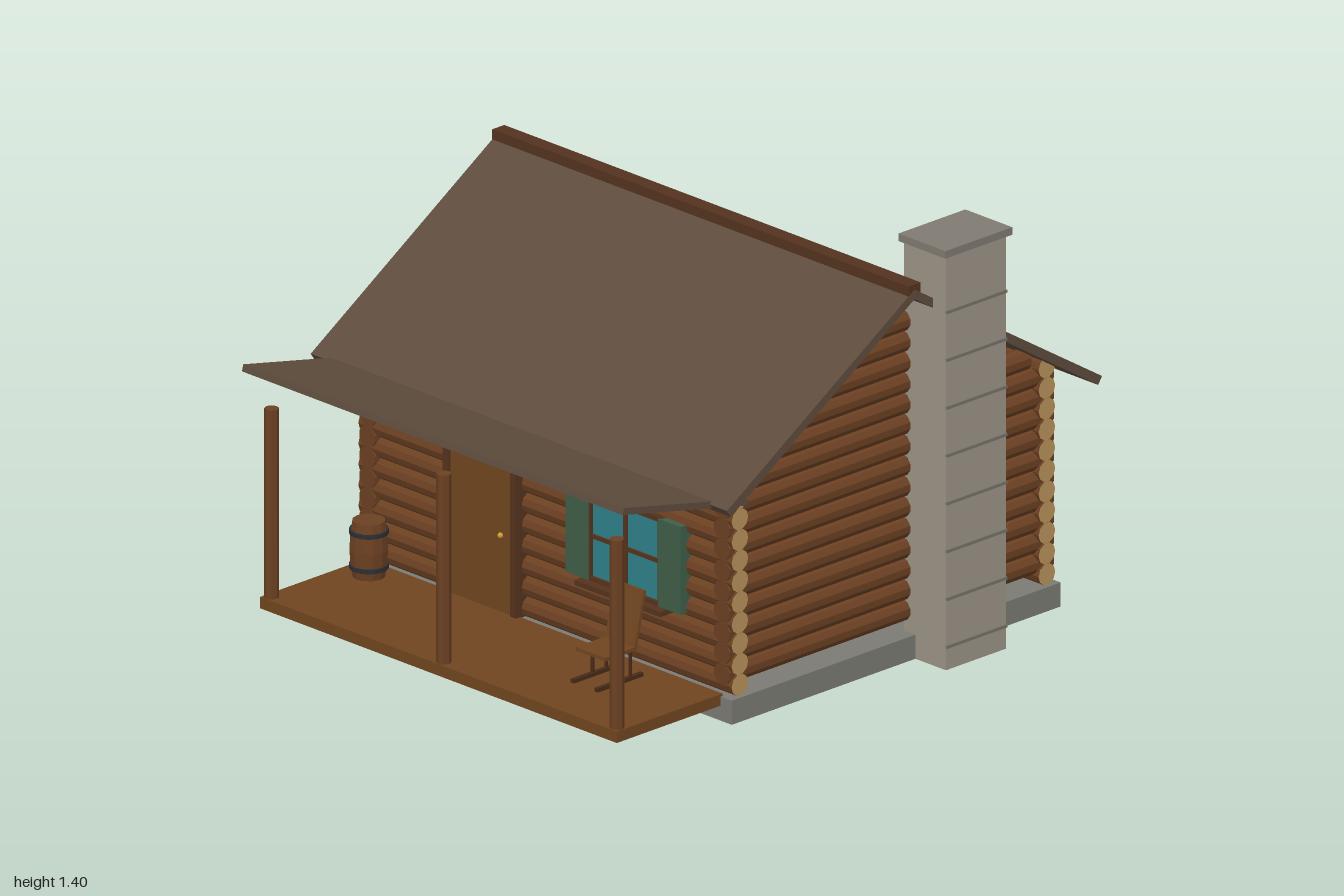
import * as THREE from 'three';

const CX = -0.035, CZ = -0.185, PITCH = 0.0688, LOG_R = 0.036;

const mat = (color, flatShading = false) => new THREE.MeshStandardMaterial({ color, flatShading });
const M = {
  log: mat(0x6b4022, true), logEnd: mat(0xb8925a), trim: mat(0x55331c), wood: mat(0x70451f),
  darkWood: mat(0x4a2b18), roof: mat(0x5e4c3d), ridge: mat(0x54331f), stone: mat(0x9c9486),
  seam: mat(0x77726a), cap: mat(0x807b71), base: mat(0x7b7a74), glass: mat(0x2f8088),
  shutter: mat(0x3f5e48), iron: mat(0x2b2e33), glow: mat(0xe6cf7a), brass: mat(0xd0a030),
};

export function createModel() {
  const root = new THREE.Group();
  root.name = 'logCabin';

  const group = (name, parent = root) => {
    const g = new THREE.Group();
    g.name = name;
    parent.add(g);
    return g;
  };
  const add = (name, geometry, material, parent = root) => {
    const mesh = new THREE.Mesh(geometry, material);
    mesh.name = name;
    parent.add(mesh);
    return mesh;
  };
  // Box given by its limits on each axis
  const box = (name, [x0, x1], [y0, y1], [z0, z1], material, parent) => {
    const m = add(name, new THREE.BoxGeometry(x1 - x0, y1 - y0, z1 - z0), material, parent);
    m.position.set((x0 + x1) / 2, (y0 + y1) / 2, (z0 + z1) / 2);
    return m;
  };
  // Round bar between two points
  const bar = (name, a, b, r, material, parent, sides = 10) => {
    const p = new THREE.Vector3(...a), q = new THREE.Vector3(...b), d = q.clone().sub(p);
    const m = add(name, new THREE.CylinderGeometry(r, r, d.length(), sides), material, parent);
    m.position.copy(p).add(q).multiplyScalar(0.5);
    m.quaternion.setFromUnitVectors(new THREE.Vector3(0, 1, 0), d.normalize());
    return m;
  };
  // Profile of [z, y] points swept along x
  const sweepX = (name, points, x0, x1, material) => {
    const shape = new THREE.Shape(points.map(([z, y]) => new THREE.Vector2(z, y)));
    const g = new THREE.ExtrudeGeometry(shape, { depth: x1 - x0, bevelEnabled: false });
    const m = add(name, g.rotateY(-Math.PI / 2), material);
    m.position.x = x1;
    return m;
  };

  box('foundation', [-0.877, 0.807], [0, 0.08], [-0.892, 0.528], M.base);

  // Front and back walls, with pale sawn ends
  for (const side of [1, -1]) {
    const wall = group(side > 0 ? 'frontWall' : 'backWall');
    const z = CZ + side * 0.663;
    for (let i = 0; i < 11; i++) {
      const y = 0.115 + i * PITCH;
      bar('wallLog', [CX - 0.825, y, z], [CX + 0.825, y, z], LOG_R, M.log, wall);
      for (const s of [1, -1]) {
        const end = add('logEnd', new THREE.CircleGeometry(LOG_R, 10), M.logEnd, wall);
        end.rotation.y = s * Math.PI / 2;
        end.position.set(CX + s * 0.8265, y, z);
      }
    }
  }

  // Side walls, half a log higher, stepping into the gables
  for (const side of [1, -1]) {
    const wall = group(side > 0 ? 'leftWall' : 'rightWall');
    const x = CX + side * 0.785;
    for (let i = 0; i < 16; i++) {
      const y = 0.149 + i * PITCH;
      const half = Math.min(0.7, (1.235 - y) / 0.6375 - 0.02);
      bar('wallLog', [x, y, CZ - half], [x, y, CZ + half], LOG_R, M.log, wall);
    }
  }

  // Main roof and ridge
  for (const s of [1, -1]) {
    const slope = [[0, 1.272], [0.81, 0.76], [0.793, 0.735], [0, 1.24]].map(([z, y]) => [CZ + s * z, y]);
    sweepX('roofSlope', slope, -0.957, 0.885, M.roof);
  }
  box('ridgeBeam', [-0.957, 0.885], [1.245, 1.289], [CZ - 0.026, CZ + 0.026], M.ridge);

  // Porch
  const porch = group('porch');
  sweepX('porchRoof', [[0.994, 0.85], [1.0, 0.828], [0.46, 0.71], [0.455, 0.732]], -0.877, 0.807, M.roof);
  box('porchDeck', [-0.82, 0.758], [0.05, 0.088], [0.52, 0.977], M.wood, porch);
  for (const x of [-0.795, -0.033, 0.733])
    bar('porchPost', [x, 0.085, 0.952], [x, 0.716, 0.952], 0.0235, M.log, porch, 8);

  // Chimney with seams on its outer face
  const chimney = group('chimney');
  box('chimneyStack', [0.757, 0.942], [0, 1.38], [-0.525, -0.265], M.stone, chimney);
  box('chimneyCap', [0.745, 0.953], [1.375, 1.4], [-0.541, -0.252], M.cap, chimney);
  for (let i = 0; i < 8; i++) {
    const y = 0.077 + i * 0.159;
    box('stoneSeam', [0.94, 0.947], [y - 0.005, y + 0.005], [-0.525, -0.265], M.seam, chimney);
  }

  // Door
  const door = group('door');
  box('doorPanel', [-0.437, -0.162], [0.085, 0.637], [0.49, 0.531], M.wood, door);
  for (const x of [-0.46, -0.162])
    box('doorJamb', [x, x + 0.025], [0.085, 0.637], [0.49, 0.54], M.trim, door);
  box('doorLintel', [-0.46, -0.137], [0.637, 0.66], [0.49, 0.54], M.trim, door);
  const knob = add('doorKnob', new THREE.SphereGeometry(0.009, 10, 8), M.brass, door);
  knob.position.set(-0.205, 0.346, 0.54);

  // Window facing local +z, centred on its panes
  const makeWindow = (name, shutters) => {
    const w = group(name);
    const hw = 0.15, hh = 0.137;
    box('glass', [-hw, hw], [-hh, hh], [-0.03, 0.008], M.glass, w);
    for (const s of [1, -1]) {
      const x = s * (hw + 0.007), y = s * (hh + 0.004);
      box('windowStile', [x - 0.009, x + 0.009], [-hh - 0.01, hh + 0.01], [-0.03, 0.018], M.trim, w);
      box('windowRail', [-hw, hw], [y - 0.008, y + 0.008], [-0.03, 0.018], M.trim, w);
      if (shutters)
        box('shutter', [s * 0.205 - 0.05, s * 0.205 + 0.05], [-0.146, 0.146], [-0.025, 0.022], M.shutter, w);
    }
    box('verticalMuntin', [-0.008, 0.008], [-hh, hh], [0, 0.014], M.trim, w);
    box('horizontalMuntin', [-hw, hw], [-0.007, 0.007], [0, 0.014], M.trim, w);
    box('windowSill', [-0.19, 0.19], [-0.165, -0.148], [-0.02, 0.047], M.trim, w);
    return w;
  };
  makeWindow('frontWindow', true).position.set(0.335, 0.452, 0.515);
  const sideWindow = makeWindow('sideWindow', false);
  sideWindow.position.set(-0.865, 0.452, -0.385);
  sideWindow.rotation.y = -Math.PI / 2;

  // Firewood stacked against the wall
  const firewood = group('firewood');
  for (let i = 0; i < 3; i++) {
    const y = 0.034 + i * 0.05;
    bar('firewoodLog', [-0.915, y, -0.485], [-0.915, y, -0.04], 0.025, M.log, firewood, 8);
  }

  // Barrel
  const barrel = group('barrel');
  barrel.position.set(-0.715, 0.087, 0.61);
  const profile = [[0, 0], [0.052, 0], [0.059, 0.045], [0.062, 0.092], [0.059, 0.14], [0.052, 0.186], [0, 0.186]];
  add('barrelBody', new THREE.LatheGeometry(profile.map((p) => new THREE.Vector2(...p)), 12), M.log, barrel);
  for (const y of [0.035, 0.15]) {
    const hoop = add('barrelHoop', new THREE.CylinderGeometry(0.062, 0.062, 0.014, 16), M.iron, barrel);
    hoop.position.y = y;
  }

  // Lantern on a bracket
  const lantern = group('lantern');
  lantern.position.set(-0.508, 0, 0.567);
  box('lanternBody', [-0.023, 0.023], [0.602, 0.67], [-0.023, 0.023], M.glow, lantern);
  const hood = add('lanternHood', new THREE.ConeGeometry(0.038, 0.032, 4), M.iron, lantern);
  hood.position.y = 0.686;
  hood.rotation.y = Math.PI / 4;
  box('lanternBase', [-0.025, 0.025], [0.596, 0.604], [-0.025, 0.025], M.iron, lantern);
  box('lanternBracket', [-0.005, 0.005], [0.698, 0.708], [-0.06, 0.005], M.iron, lantern);

  // Rocking chair
  const chair = group('rockingChair');
  chair.position.x = 0.44;
  box('chairSeat', [-0.065, 0.065], [0.194, 0.206], [0.645, 0.78], M.wood, chair);
  const back = add('chairBack', new THREE.BoxGeometry(0.13, 0.185, 0.011), M.wood, chair);
  back.position.set(0, 0.292, 0.628);
  back.rotation.x = -0.22;
  for (const x of [-0.053, 0.053]) {
    box('chairRocker', [x - 0.007, x + 0.007], [0.097, 0.11], [0.61, 0.807], M.darkWood, chair);
    for (const z of [0.66, 0.72])
      bar('chairLeg', [x, 0.105, z], [x, 0.198, z], 0.006, M.darkWood, chair, 6);
  }

  return root;
}
